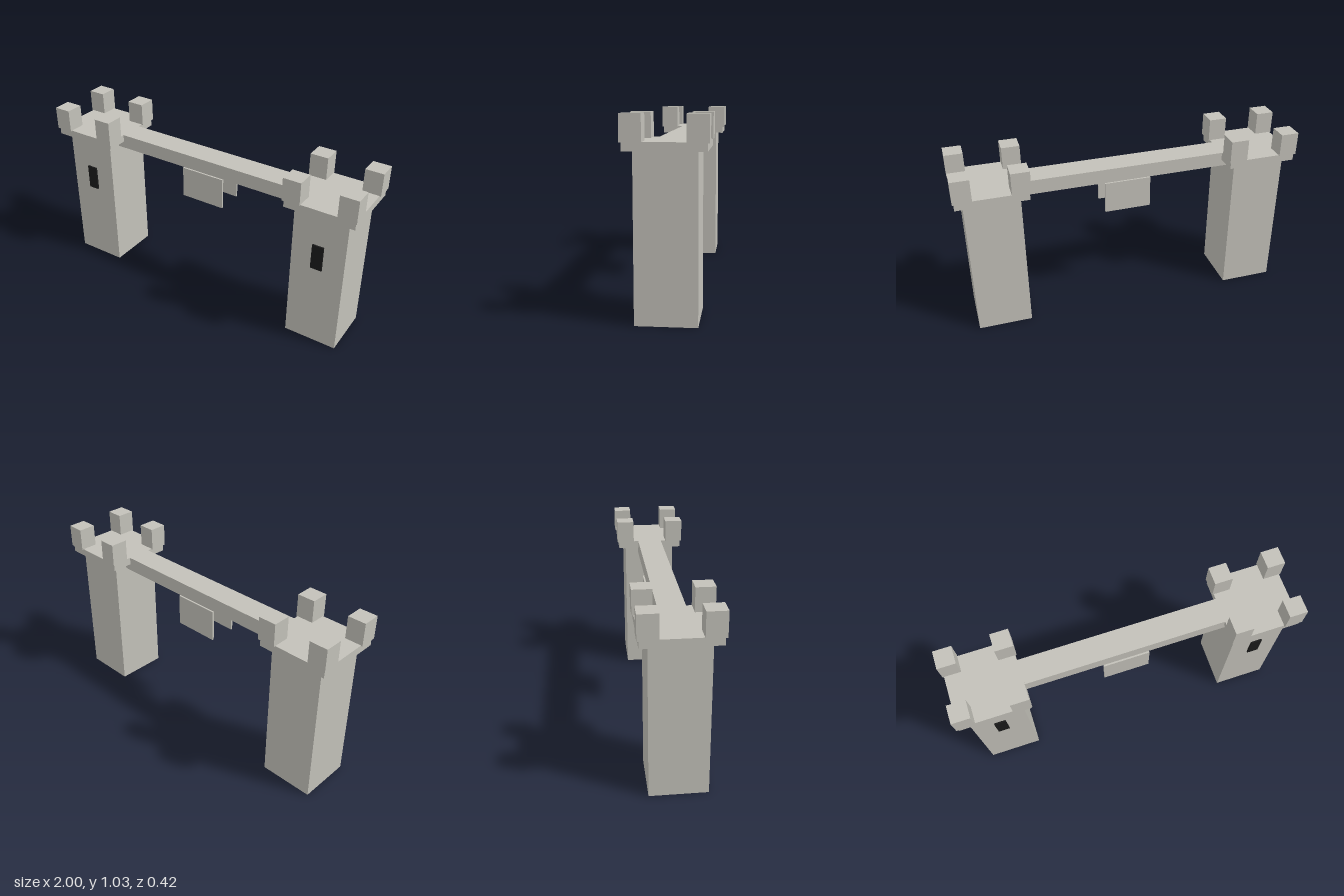
import * as THREE from 'three';

export function createModel() {
  const stone = new THREE.MeshStandardMaterial({ color: 0xc3c1b9 });
  stone.name = 'stone';
  const dark = new THREE.MeshStandardMaterial({ color: 0x1a1a1a });
  dark.name = 'windowDark';

  const model = new THREE.Group();
  model.name = 'gatehouse';

  // Box given by its size, centre x/z and the height of its base
  const addBox = (parent, name, material, [w, h, d], x, base, z) => {
    const mesh = new THREE.Mesh(new THREE.BoxGeometry(w, h, d), material);
    mesh.name = name;
    mesh.position.set(x, base + h / 2, z);
    parent.add(mesh);
  };

  // Two mirrored towers, each with cap, corner merlons and a front window
  for (const side of [-1, 1]) {
    const tower = new THREE.Group();
    tower.name = side > 0 ? 'leftTower' : 'rightTower';
    tower.position.x = side * 0.79;
    addBox(tower, 'towerBody', stone, [0.314, 0.858, 0.314], 0, 0, 0);
    addBox(tower, 'towerCap', stone, [0.404, 0.044, 0.404], 0, 0.856, 0);
    for (const mx of [-1, 1]) {
      for (const mz of [-1, 1]) {
        addBox(tower, 'merlon', stone, [0.105, 0.135, 0.106], mx * 0.1575, 0.897, mz * 0.1585);
      }
    }
    addBox(tower, 'window', dark, [0.067, 0.151, 0.0098], 0, 0.507, 0.164);
    model.add(tower);
  }

  // Walkway joining the towers
  addBox(model, 'bridge', stone, [1.27, 0.085, 0.15], 0, 0.815, 0);

  // Panels hanging under the front and back edges of the walkway
  for (const z of [-0.0795, 0.0795]) {
    addBox(model, 'hangingPanel', stone, [0.273, 0.188, 0.011], 0, 0.627, z);
  }

  return model;
}
